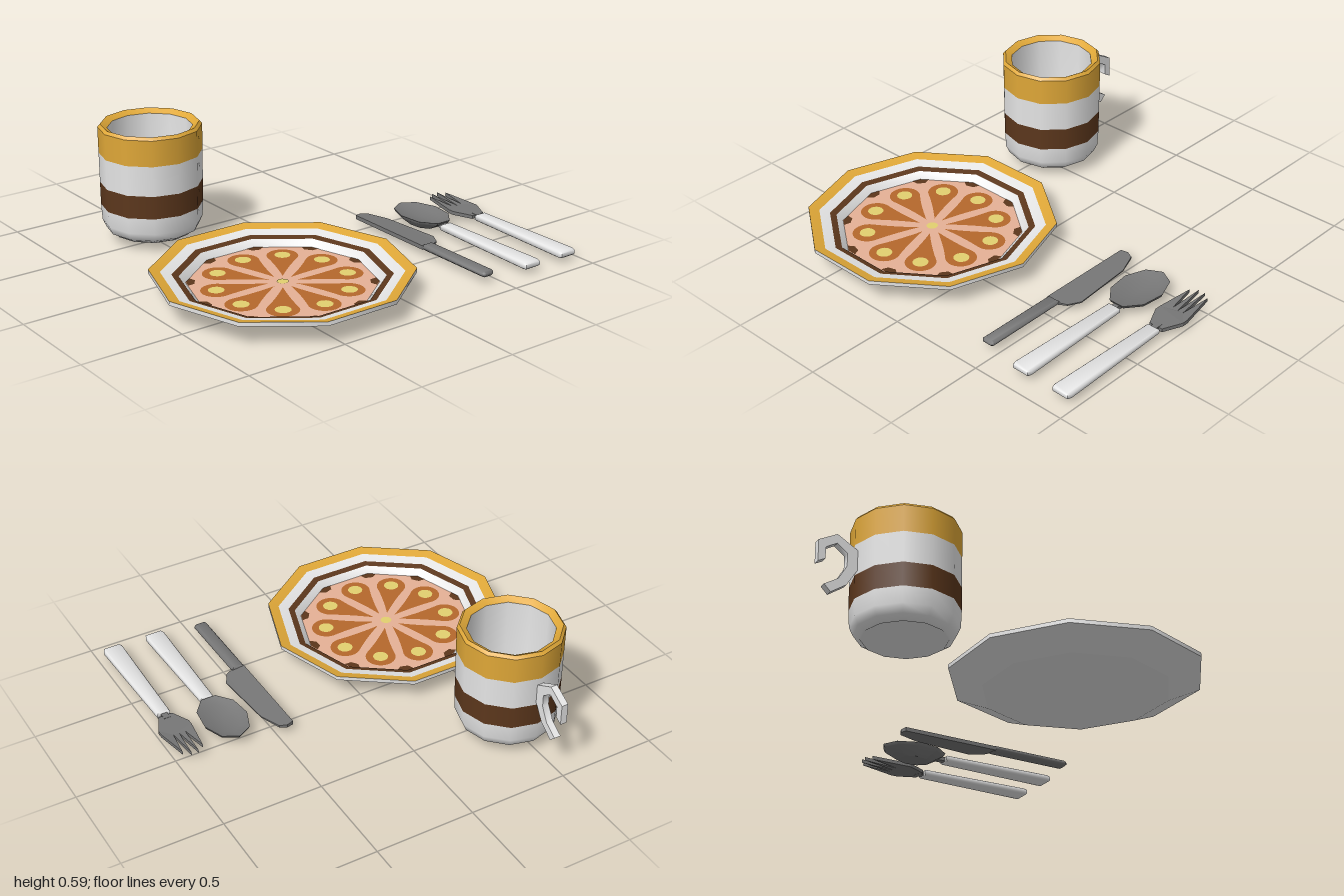
import * as THREE from 'three';
import { toCreasedNormals } from 'three/addons/utils/BufferGeometryUtils.js';

const mat = (name, color) => {
  const m = new THREE.MeshStandardMaterial({ color });
  m.name = name;
  return m;
};

export function createModel() {
  const white = mat('white glaze', 0xe6e6e6);
  const gold = mat('gold glaze', 0xe0a838);
  const brown = mat('dark brown glaze', 0x5c371c);
  const steel = mat('steel grey', 0x777777);
  const peach = mat('peach glaze', 0xe6b196);
  const rust = mat('rust petal', 0xb5682c);
  const yellow = mat('yellow dot', 0xe2d070);

  const model = new THREE.Group();
  model.name = 'tableSetting';

  const group = (name, x, z) => {
    const g = new THREE.Group();
    g.name = name;
    g.position.set(x, 0, z);
    model.add(g);
    return g;
  };
  const add = (parent, name, geometry, material) => {
    const mesh = new THREE.Mesh(geometry, material);
    mesh.name = name;
    parent.add(mesh);
    return mesh;
  };
  // Turned part; profiles run from the bottom centre outward, up and back in
  const turned = (points, sides, start = Math.PI / 2) =>
    new THREE.LatheGeometry(points.map(p => new THREE.Vector2(...p)), sides, start);
  const crease = g => toCreasedNormals(g, 0.6);
  const soften = g => toCreasedNormals(g, 1);
  // Flat outline given as [x, z], raised from y0 to y1
  const slab = (outline, y0, y1, bevel = 0) => {
    const shape = new THREE.Shape(outline.map(([x, z]) => new THREE.Vector2(x, -z)));
    const g = new THREE.ExtrudeGeometry(shape, {
      depth: y1 - y0 - 2 * bevel, bevelEnabled: bevel > 0,
      bevelSize: bevel, bevelThickness: bevel, bevelOffset: -bevel, bevelSegments: 1,
    });
    return g.rotateX(-Math.PI / 2).translate(0, y0 + bevel, 0);
  };
  // Move each vertex's height by a rule
  const reshapeY = (g, rule) => {
    const p = g.attributes.position;
    for (let i = 0; i < p.count; i++) p.setY(i, rule(p.getX(i), p.getY(i), p.getZ(i)));
    g.computeVertexNormals();
    return g;
  };

  // ---- Plate: white body, smooth outside and faceted coloured rings on top ----
  const plate = group('plate', -0.39, 0.403);
  add(plate, 'plateBottom', turned([[0, 0.03], [0.45, 0.03]], 10), white);
  add(plate, 'plateSlope', turned([[0.45, 0.03], [0.61, 0.1]], 10), white);
  add(plate, 'plateEdge', turned([[0.61, 0.1], [0.61, 0.12]], 10), white);
  const plateRings = [
    ['plateGoldRing', gold, [[0.61, 0.12], [0.557, 0.107]]],
    ['plateWhiteRing', white, [[0.557, 0.107], [0.505, 0.094]]],
    ['plateBrownRing', brown, [[0.505, 0.094], [0.473, 0.086]]],
    ['plateInnerWall', white, [[0.473, 0.086], [0.442, 0.055]]],
    ['plateFloor', peach, [[0.442, 0.055], [0, 0.055]]],
  ];
  for (const [name, material, profile] of plateRings)
    add(plate, name, crease(turned(profile, 10)), material);

  // Painted flower on the plate floor
  const paint = (name, geometry, material, y, angle = 0) => {
    const mesh = add(plate, name, geometry.clone().rotateX(-Math.PI / 2), material);
    mesh.position.y = y;
    mesh.rotation.y = angle;
  };
  const petal = new THREE.Shape();
  petal.moveTo(0.065, 0);
  petal.quadraticCurveTo(0.19, -0.03, 0.285, -0.07);
  petal.absarc(0.312, 0, 0.075, -1.94, 1.94, false);
  petal.quadraticCurveTo(0.19, 0.03, 0.065, 0);
  const petalGeo = new THREE.ShapeGeometry(petal, 16);
  const dotGeo = new THREE.CircleGeometry(0.038, 16).translate(0.315, 0, 0);
  const cornerGeo = new THREE.ShapeGeometry(new THREE.Shape([
    [0.4, -0.02], [0.427, -0.042], [0.44, 0], [0.427, 0.042], [0.4, 0.02],
  ].map(p => new THREE.Vector2(...p))));
  for (let i = 0; i < 10; i++) {
    const a = (i * Math.PI) / 5;
    paint('petal', petalGeo, rust, 0.057, a + Math.PI / 10);
    paint('petalDot', dotGeo, yellow, 0.059, a + Math.PI / 10);
    paint('cornerPatch', cornerGeo, brown, 0.057, a);
  }
  paint('flowerCentre', new THREE.CircleGeometry(0.028, 12), yellow, 0.059);

  // ---- Mug: smooth bands, creased rim ----
  const mug = group('mug', -0.483, -0.553);
  const mugBands = [
    ['mugBase', white, [[0, 0.045], [0.185, 0.045], [0.195, 0.038], [0.2, 0.045],
      [0.228, 0.06], [0.246, 0.1], [0.25, 0.18]]],
    ['mugBrownBand', brown, [[0.25, 0.18], [0.251, 0.295]]],
    ['mugWhiteBand', white, [[0.251, 0.295], [0.252, 0.445]]],
    ['mugGoldBand', gold, [[0.252, 0.445], [0.253, 0.575]]],
    ['mugInside', white, [[0.207, 0.57], [0.205, 0.2], [0.185, 0.12], [0.13, 0.08], [0, 0.07]]],
  ];
  for (const [name, material, profile] of mugBands)
    add(mug, name, turned(profile, 12), material);
  add(mug, 'mugRim', crease(turned([[0.253, 0.575], [0.24, 0.59], [0.207, 0.57]], 12)), gold);

  // Open hook handle, outlined as [distance behind, height]
  const hook = new THREE.Shape([
    [0.8, 0.41], [0.9, 0.465], [0.99, 0.415], [0.99, 0.31], [0.955, 0.33],
    [0.953, 0.388], [0.9, 0.42], [0.85, 0.383], [0.85, 0.32], [0.89, 0.25],
    [0.957, 0.207], [0.925, 0.175], [0.85, 0.228], [0.8, 0.31],
  ].map(([d, y]) => new THREE.Vector2(d, y)));
  const hookGeo = new THREE.ExtrudeGeometry(hook, { depth: 0.034, bevelEnabled: false });
  hookGeo.translate(0, 0, -0.017).rotateY(Math.PI / 2).translate(0, 0, 0.553);
  add(mug, 'mugHandle', soften(hookGeo), white);

  // ---- Knife ----
  const knife = group('knife', 0.003, 0.005);
  const blade = slab([[0.41, -0.075], [0.445, -0.085], [0.48, -0.07], [0.522, 0.04],
    [0.547, 0.36], [0.515, 0.42], [0.475, 0.44], [0.41, 0.44]], 0.03, 0.05);
  reshapeY(blade, (x, y) => 0.04 + (y - 0.04) * Math.max(0.3, 1 - (x - 0.41) / 0.16));
  add(knife, 'knifeBlade', blade, steel);
  add(knife, 'knifeHandle', soften(slab([[0.41, 0.43], [0.475, 0.43], [0.477, 0.86],
    [0.465, 0.87], [0.42, 0.87], [0.41, 0.86]], 0.027, 0.056, 0.01)), steel);

  // ---- Spoon and fork handles ----
  const addHandle = (parent, name) => {
    add(parent, name + 'Handle', soften(slab([[-0.033, 0.29], [0.033, 0.29], [0.05, 0.89],
      [0.043, 0.91], [-0.043, 0.91], [-0.05, 0.89]], 0.025, 0.056, 0.006)), white);
    add(parent, name + 'Neck',
      slab([[-0.016, 0.25], [0.016, 0.25], [0.016, 0.3], [-0.016, 0.3]], 0.03, 0.05), steel);
  };

  // ---- Spoon ----
  const spoon = group('spoon', 0.688, 0.005);
  const bowl = turned([[0, 0], [0.06, 0.004], [0.108, 0.045], [0.114, 0.06],
    [0.075, 0.044], [0, 0.036]], 9, Math.PI);
  bowl.scale(1, 1, 1.53).translate(0, 0, 0.115);
  add(spoon, 'spoonBowl', crease(bowl), steel);
  addHandle(spoon, 'spoon');

  // ---- Fork: right half of the outline is mirrored ----
  const fork = group('fork', 0.919, 0.005);
  const half = [[0, 0.12], [0.018, -0.055], [0.03, 0.12], [0.052, -0.03],
    [0.08, 0.15], [0.08, 0.18], [0.036, 0.275]];
  const mirrored = half.slice(1).reverse().map(([x, z]) => [-x, z]);
  const head = slab([...half, ...mirrored], 0.03, 0.048);
  reshapeY(head, (x, y, z) => y + (z < 0.14 ? (0.14 - z) * 0.08 : 0) + Math.abs(x) * 0.06 - 0.002);
  add(fork, 'forkHead', head, steel);
  addHandle(fork, 'fork');

  return model;
}
